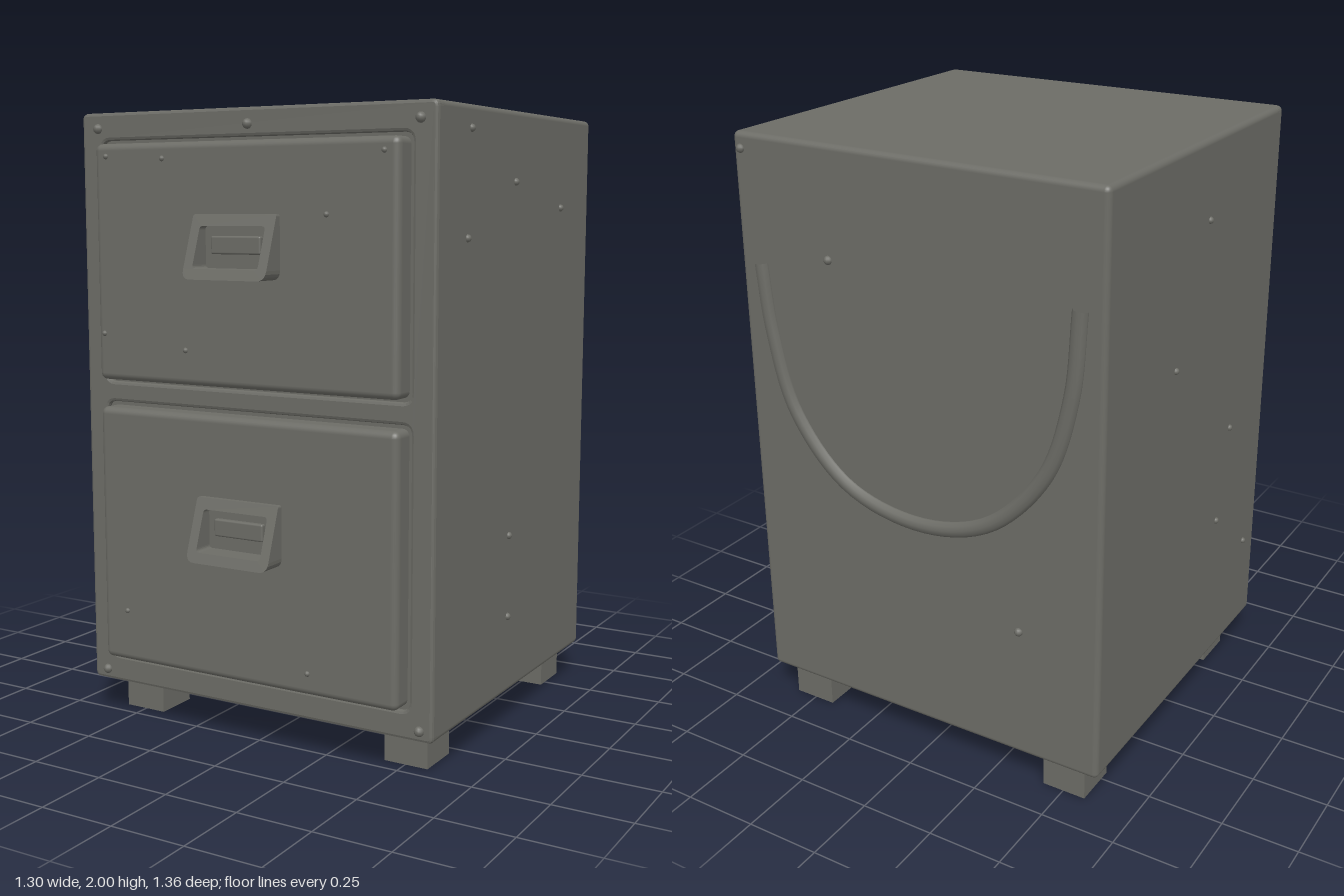
import * as THREE from 'three';
import { RoundedBoxGeometry } from 'three/addons/geometries/RoundedBoxGeometry.js';

const metal = new THREE.MeshStandardMaterial({ color: 0x6c6c66 });
metal.name = 'weathered grey metal';

function add(parent, name, geometry, x = 0, y = 0, z = 0) {
  const mesh = new THREE.Mesh(geometry, metal);
  mesh.name = name;
  mesh.position.set(x, y, z);
  parent.add(mesh);
  return mesh;
}

// Rounded box given by its limits
function block(parent, name, [x0, x1], [y0, y1], [z0, z1], r) {
  const g = new RoundedBoxGeometry(x1 - x0, y1 - y0, z1 - z0, 3, r);
  return add(parent, name, g, (x0 + x1) / 2, (y0 + y1) / 2, (z0 + z1) / 2);
}

// Rounded rectangle outline; top and bottom corners may differ
function outline(path, x0, x1, y0, y1, rb, rt = rb) {
  path.moveTo(x0 + rb, y0);
  path.lineTo(x1 - rb, y0);
  path.quadraticCurveTo(x1, y0, x1, y0 + rb);
  path.lineTo(x1, y1 - rt);
  path.quadraticCurveTo(x1, y1, x1 - rt, y1);
  path.lineTo(x0 + rt, y1);
  path.quadraticCurveTo(x0, y1, x0, y1 - rt);
  path.lineTo(x0, y0 + rb);
  path.quadraticCurveTo(x0, y0, x0 + rb, y0);
  return path;
}

// Pull frame: thin at the top, deep at the bottom, open in the middle
function handleGeometry() {
  const shape = outline(new THREE.Shape(), -0.15, 0.15, -0.1, 0.095, 0.03, 0.008);
  shape.holes.push(outline(new THREE.Path(), -0.118, 0.118, -0.068, 0.06, 0.012));
  const g = new THREE.ExtrudeGeometry(shape, { depth: 1, bevelEnabled: false, curveSegments: 5 });
  const p = g.attributes.position;
  for (let i = 0; i < p.count; i++) {
    const t = (p.getY(i) + 0.1) / 0.195;
    p.setZ(i, p.getZ(i) * THREE.MathUtils.lerp(0.09, 0.022, t));
  }
  g.computeVertexNormals();
  return g;
}

export function createModel() {
  const cabinet = new THREE.Group();
  cabinet.name = 'filingCabinet';

  block(cabinet, 'body', [-0.64, 0.64], [0.12, 2], [-0.655, 0.525], 0.018);

  // Raised front frame with two drawer openings
  const drawers = [[0.22, 1.06, 0.71], [1.15, 1.9, 1.585]];
  const face = outline(new THREE.Shape(), -0.64, 0.64, 0.12, 2, 0.02);
  for (const [y0, y1] of drawers) {
    face.holes.push(outline(new THREE.Path(), -0.56, 0.56, y0 - 0.012, y1 + 0.012, 0.03));
  }
  const bevel = 0.01;
  add(cabinet, 'frontFrame', new THREE.ExtrudeGeometry(face, {
    depth: 0.03, bevelThickness: bevel, bevelSize: bevel, bevelOffset: -bevel, bevelSegments: 2, curveSegments: 5,
  }), 0, 0, 0.5);

  // Drawers with recessed pulls
  for (const [y0, y1, handleY] of drawers) {
    const drawer = new THREE.Group();
    drawer.name = 'drawer';
    cabinet.add(drawer);
    block(drawer, 'drawerFront', [-0.548, 0.548], [y0, y1], [0.48, 0.597], 0.022);
    add(drawer, 'handleFrame', handleGeometry(), 0, handleY, 0.592);
    block(drawer, 'handlePlate', [-0.09, 0.09], [handleY - 0.025, handleY + 0.03], [0.585, 0.612], 0.006);
  }

  // Feet
  for (const x of [-0.502, 0.502]) {
    for (const z of [0.37, -0.54]) {
      add(cabinet, 'foot', new THREE.BoxGeometry(0.15, 0.14, 0.15), x, 0.07, z);
    }
  }

  // Hanging curved ridge on the back
  const curve = new THREE.CatmullRomCurve3([
    [0.56, 1.6], [0.535, 1.38], [0.46, 1.12], [0.27, 0.91], [0, 0.845],
    [-0.25, 0.91], [-0.45, 1.12], [-0.535, 1.38], [-0.56, 1.65],
  ].map(([x, y]) => new THREE.Vector3(x, y, 0)));
  const ridge = add(cabinet, 'backRidge', new THREE.TubeGeometry(curve, 56, 0.026, 10), 0, 0, -0.655);
  ridge.scale.z = 0.77;

  // Small domed rivets on each side
  const rivet = new THREE.SphereGeometry(1, 10, 8);
  const stud = (name, x, y, z, r) => add(cabinet, name, rivet, x, y, z).scale.setScalar(r);
  for (const [x, y] of [[-0.575, 1.95], [0, 1.95], [0.585, 1.95], [-0.585, 0.155], [0.595, 0.155]]) {
    stud('frameRivet', x, y, 0.54, 0.016);
  }
  for (const [x, y] of [[-0.5, 1.86], [-0.28, 1.85], [0.5, 1.86], [-0.52, 1.3], [-0.2, 1.26], [0.31, 1.68], [-0.45, 0.39], [0.24, 0.29]]) {
    stud('drawerRivet', x, y, 0.596, 0.009);
  }
  for (const [y, z] of [[1.93, 0.32], [1.78, -0.01], [1.7, -0.39], [1.61, 0.34], [0.65, 0], [0.38, 0]]) {
    stud('rightRivet', 0.64, y, z, 0.012);
  }
  for (const [y, z] of [[1.75, 0], [1.33, -0.2], [0.97, 0.25], [0.65, 0.18], [0.45, 0.44]]) {
    stud('leftRivet', -0.64, y, z, 0.011);
  }
  for (const [x, y] of [[0.61, 1.95], [0.3, 1.65], [-0.36, 0.57]]) {
    stud('backRivet', x, y, -0.655, 0.014);
  }
  for (const [x, z] of [[-0.25, 0.4], [-0.13, 0.3], [-0.05, 0.42], [0.06, 0.4], [0.13, 0.4], [0.2, 0.4], [0.34, 0.1], [-0.3, -0.1], [0.3, -0.4], [-0.1, -0.5]]) {
    stud('baseRivet', x, 0.12, z, 0.016);
  }
  return cabinet;
}
